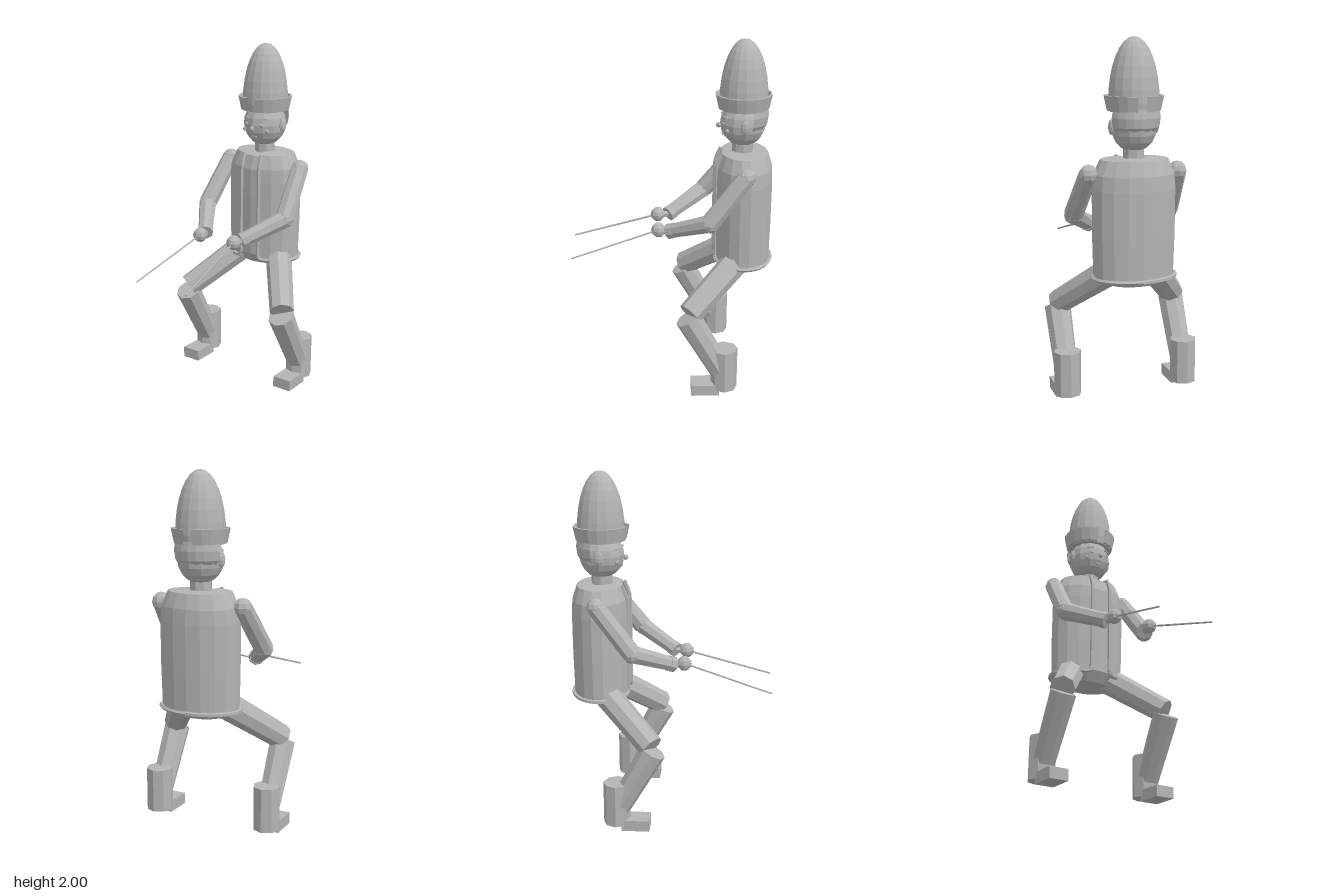
import * as THREE from 'three';

export function createModel() {
  const model = new THREE.Group();
  const grey = new THREE.MeshStandardMaterial({ color: 0xb4b4b4, side: THREE.DoubleSide });
  grey.name = 'plain grey';
  const V = (x, y, z) => new THREE.Vector3(x, y, z);

  // Adds a faceted mesh
  function add(name, geometry, position = V(0, 0, 0), scale = V(1, 1, 1)) {
    const g = geometry.index ? geometry.toNonIndexed() : geometry;
    g.scale(scale.x, scale.y, scale.z);
    g.computeVertexNormals();
    const mesh = new THREE.Mesh(g, grey);
    mesh.name = name;
    mesh.position.copy(position);
    model.add(mesh);
    return mesh;
  }
  // Straight tapered limb between two points
  function limb(name, a, b, ra, rb, sides = 8) {
    const dir = b.clone().sub(a);
    const g = new THREE.CylinderGeometry(rb, ra, dir.length(), sides);
    const mesh = add(name, g, a.clone().add(b).multiplyScalar(0.5));
    mesh.quaternion.setFromUnitVectors(V(0, 1, 0), dir.normalize());
    return mesh;
  }
  const ball = (name, p, rx, ry = rx, rz = rx, w = 8, h = 6) =>
    add(name, new THREE.SphereGeometry(1, w, h), p, V(rx, ry, rz));
  const turned = (pts, segs, start = 0, length = Math.PI * 2) =>
    new THREE.LatheGeometry(pts.map(([r, y]) => new THREE.Vector2(r, y)), segs, start, length);

  const bodyZ = -0.41, flat = 0.72, headZ = -0.4, gap = 0.27;

  // Inner body with a tapered seat
  add('body', turned([[0, 0.68], [0.15, 0.68], [0.205, 0.74], [0.216, 1.1], [0.214, 1.27],
    [0.178, 1.35], [0.07, 1.362], [0, 1.362]], 16), V(0, 0, bodyZ), V(1, 1, flat));

  // Coat, open down the front
  add('coat', turned([[0.205, 0.72], [0.224, 0.72], [0.23, 0.95], [0.231, 1.2], [0.224, 1.28],
    [0.187, 1.36], [0.07, 1.366]], 16, gap, Math.PI * 2 - gap * 2), V(0, 0, bodyZ), V(1, 1, flat));

  // Neck, head and hair
  limb('neck', V(0, 1.33, headZ), V(0, 1.44, headZ), 0.06, 0.06);
  ball('head', V(0, 1.53, headZ), 0.125, 0.135, 0.13, 12, 10);
  add('hair', turned([[0.115, 1.5], [0.136, 1.53], [0.143, 1.58], [0.135, 1.63]], 8,
    Math.PI * 0.6, Math.PI * 0.8), V(0, 0, headZ));
  ball('nose', V(0, 1.515, -0.263), 0.012, 0.016, 0.016);
  add('mouth', new THREE.BoxGeometry(0.04, 0.008, 0.008), V(0, 1.465, -0.286));

  // Tall hat
  const hat = [[0, 1.61], [0.13, 1.61]];
  for (let i = 0; i <= 8; i++) {
    const a = (i / 8) * Math.PI / 2;
    hat.push([0.136 * Math.cos(a), 1.66 + 0.34 * Math.sin(a)]);
  }
  add('hat', turned(hat, 16), V(0, 0, headZ));

  for (const s of [1, -1]) {
    const side = s > 0 ? 'left' : 'right';

    // Turned-up hat brim in two halves
    add(side + 'Brim', turned([[0.128, 1.615], [0.143, 1.615], [0.16, 1.695], [0.145, 1.695],
      [0.128, 1.615]], 8, s > 0 ? 0.18 : Math.PI + 0.18, Math.PI - 0.36), V(0, 0, headZ));

    // Face details
    ball(side + 'Ear', V(s * 0.125, 1.53, headZ), 0.016, 0.042, 0.027);
    ball(side + 'Eye', V(s * 0.05, 1.535, -0.286), 0.014, 0.01, 0.008);
    ball(side + 'Cheek', V(s * 0.078, 1.5, -0.304), 0.013, 0.013, 0.01);
    const brow = add(side + 'Brow', new THREE.BoxGeometry(0.045, 0.008, 0.01), V(s * 0.06, 1.572, -0.293));
    brow.rotation.y = s * 0.5;

    // Raised coat edging: down the front, then round the hem
    const at = (phi, y, r = 0.232) =>
      V(s * r * Math.sin(phi), y, bodyZ + flat * r * Math.cos(phi));
    const front = [at(gap + 0.05, 1.362, 0.19), at(gap, 1.28, 0.229), at(gap, 1), at(gap, 0.75), at(gap + 0.06, 0.722)];
    for (let i = 1; i <= 10; i++) front.push(at(gap + 0.06 + (Math.PI - gap - 0.06) * i / 10, 0.72));
    add(side + 'CoatTrim', new THREE.TubeGeometry(new THREE.CatmullRomCurve3(front, false, 'catmullrom', 0.2),
      60, 0.012, 5));

    // Arm
    const shoulder = V(s * 0.25, 1.285, -0.4), elbow = V(s * 0.28, 1.03, -0.2);
    const wrist = V(s * 0.13, 0.925, 0.02), hand = V(s * 0.12, 0.93, 0.08);
    ball(side + 'Shoulder', shoulder, 0.052);
    limb(side + 'UpperArm', shoulder, elbow, 0.052, 0.054);
    ball(side + 'Elbow', elbow, 0.053);
    limb(side + 'Forearm', elbow, wrist, 0.053, 0.042);
    const cuffStart = wrist.clone().lerp(elbow, 0.13);
    limb(side + 'Cuff', cuffStart, wrist, 0.047, 0.047);
    limb(side + 'Wrist', wrist, hand, 0.02, 0.02, 6);
    ball(side + 'Hand', hand, 0.043);

    // Drumstick
    limb(side + 'Stick', hand, V(s * 0.172, 0.78, 0.58), 0.006, 0.005, 6);

    // Bent leg
    const knee = V(s * 0.345, 0.505, -0.09);
    limb(side + 'Thigh', V(s * 0.11, 0.76, -0.4), knee, 0.08, 0.071);
    limb(side + 'Shin', V(s * 0.345, 0.48, -0.08), V(s * 0.345, 0.13, -0.275), 0.076, 0.066);

    // Boot and forefoot
    limb(side + 'Boot', V(s * 0.345, 0.03, -0.29), V(s * 0.345, 0.28, -0.29), 0.077, 0.077);
    add(side + 'Foot', new THREE.BoxGeometry(0.115, 0.065, 0.16), V(s * 0.345, 0.0325, -0.18));
  }
  return model;
}
